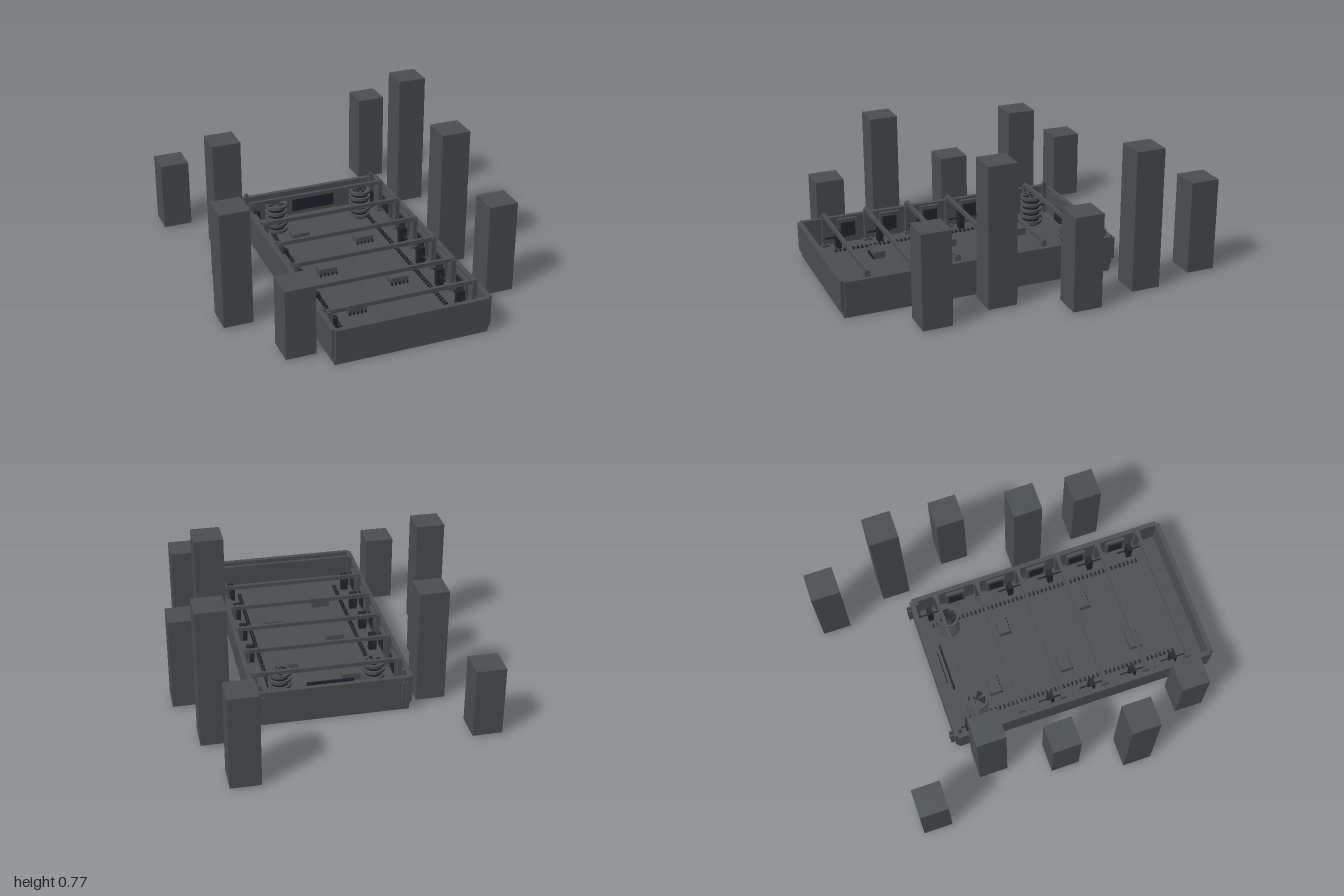
import * as THREE from 'three';

export function createModel() {
  const root = new THREE.Group();
  root.name = 'openHall';
  const grey = new THREE.MeshStandardMaterial({ color: 0x4a4f50 });
  grey.name = 'slate grey';
  const dark = new THREE.MeshStandardMaterial({ color: 0x20262c });
  dark.name = 'dark steel';

  const group = (name) => {
    const g = new THREE.Group();
    g.name = name;
    root.add(g);
    return g;
  };
  // box standing on y, centred on x and z
  const box = (parent, name, w, h, d, x, y, z, mat = grey) => {
    const m = new THREE.Mesh(new THREE.BoxGeometry(w, h, d), mat);
    m.name = name;
    m.position.set(x, y + h / 2, z);
    parent.add(m);
    return m;
  };
  const cyl = (parent, name, r, h, x, y, z, mat = grey) => {
    const m = new THREE.Mesh(new THREE.CylinderGeometry(r, r, h, 24), mat);
    m.name = name;
    m.position.set(x, y + h / 2, z);
    parent.add(m);
    return m;
  };
  const floorY = 0.045;

  // floor slab and the four outer walls
  const shell = group('shell');
  box(shell, 'baseSlab', 0.82, floorY, 1.47, 0, 0, 0.25);
  box(shell, 'frontWall', 0.82, 0.16, 0.025, 0, 0.04, 0.9865);
  box(shell, 'backWall', 0.82, 0.16, 0.025, 0, 0.04, -0.4825);
  for (const s of [-1, 1]) {
    box(shell, 'sideWall', 0.025, 0.16, 1.46, s * 0.4125, 0.04, 0.25);
    // uprights on the outside of the back wall
    for (const dx of [-0.011, 0.011])
      box(shell, 'backUpright', 0.009, 0.12, 0.024, s * 0.38 + dx, 0.06, -0.506);
    box(shell, 'backPost', 0.02, 0.185, 0.02, s * 0.38, floorY, -0.46);
  }

  // portal frames across the hall
  const frames = group('portalFrames');
  const frameZ = [-0.345, -0.105, 0.135, 0.375, 0.615, 0.855];
  for (const z of frameZ) {
    box(frames, 'crossBeam', 0.8, 0.022, 0.018, 0, 0.211, z);
    for (const s of [-1, 1]) {
      box(frames, 'column', 0.025, 0.18, 0.03, s * 0.388, floorY, z);
      box(frames, 'columnFoot', 0.035, 0.012, 0.045, s * 0.383, floorY, z);
    }
  }

  // wall bays: inner panels and sills between the frames
  const bays = group('wallBays');
  for (const z of frameZ.slice(0, 5))
    for (const s of [-1, 1]) {
      box(bays, 'wallPanel', 0.018, 0.12, 0.11, s * 0.388, 0.07, z + 0.11);
      box(bays, 'panelInset', 0.004, 0.08, 0.08, s * 0.377, 0.09, z + 0.11, dark);
    }

  // control cabinets along the walls with thin service rods
  const cabinets = group('cabinets');
  for (const z of [-0.4, 0.075, 0.315, 0.555, 0.795])
    for (const s of [-1, 1]) {
      box(cabinets, 'cabinet', 0.042, 0.1, 0.03, s * 0.345, floorY, z, dark);
      box(cabinets, 'serviceRod', 0.006, 0.01, 0.14, s * 0.345, 0.1, z, dark);
    }

  // rails with sleepers running the length of the floor
  const rails = group('rails');
  for (const s of [-1, 1]) {
    box(rails, 'rail', 0.005, 0.008, 1.24, s * 0.29, floorY, 0.21);
    for (let i = 0; i < 50; i++)
      box(rails, 'sleeper', 0.02, 0.012, 0.009, s * 0.29, floorY, -0.4 + i * 0.025, dark);
  }

  // machines on the floor
  const machines = group('machines');
  const machineZ = [-0.195, -0.035, 0.22, 0.44, 0.63];
  machineZ.forEach((z, i) => {
    const x = i % 2 ? 0.155 : -0.16;
    box(machines, 'machineBody', 0.1, 0.04, 0.062, x, floorY, z);
    for (let k = -2; k <= 2; k++)
      box(machines, 'machineFoot', 0.008, 0.015, 0.01, x + k * 0.022, floorY, z + 0.034, dark);
  });

  // ringed tanks in the back corners
  const tanks = group('tanks');
  for (const s of [-1, 1]) {
    cyl(tanks, 'tankCore', 0.048, 0.17, s * 0.252, floorY, -0.32, dark);
    for (let i = 0; i < 5; i++)
      cyl(tanks, 'tankRing', 0.062, 0.016, s * 0.252, floorY + 0.01 + i * 0.036, -0.32);
  }

  // desk and screen at the back wall
  const console_ = group('backConsole');
  box(console_, 'screen', 0.25, 0.08, 0.008, 0, 0.1, -0.41, dark);
  box(console_, 'shelf', 0.18, 0.012, 0.03, 0, 0.15, -0.455);
  box(console_, 'shelfEdge', 0.18, 0.012, 0.006, 0, 0.152, -0.437, dark);

  // tall blocks around the hall, heights cycling in steps
  const blocks = group('surroundingBlocks');
  const blockX = [0.54, -0.735, 0.632, -0.54, 0.73, -0.635, 0.54, -0.735, 0.632, -0.54];
  const tops = [0.518, 0.39, 0.772, 0.645];
  blockX.forEach((x, i) => {
    box(blocks, 'block', 0.157, tops[i % 4] - 0.01, 0.157, x, 0.01, -0.9215 + i * 0.1905);
  });

  return root;
}
